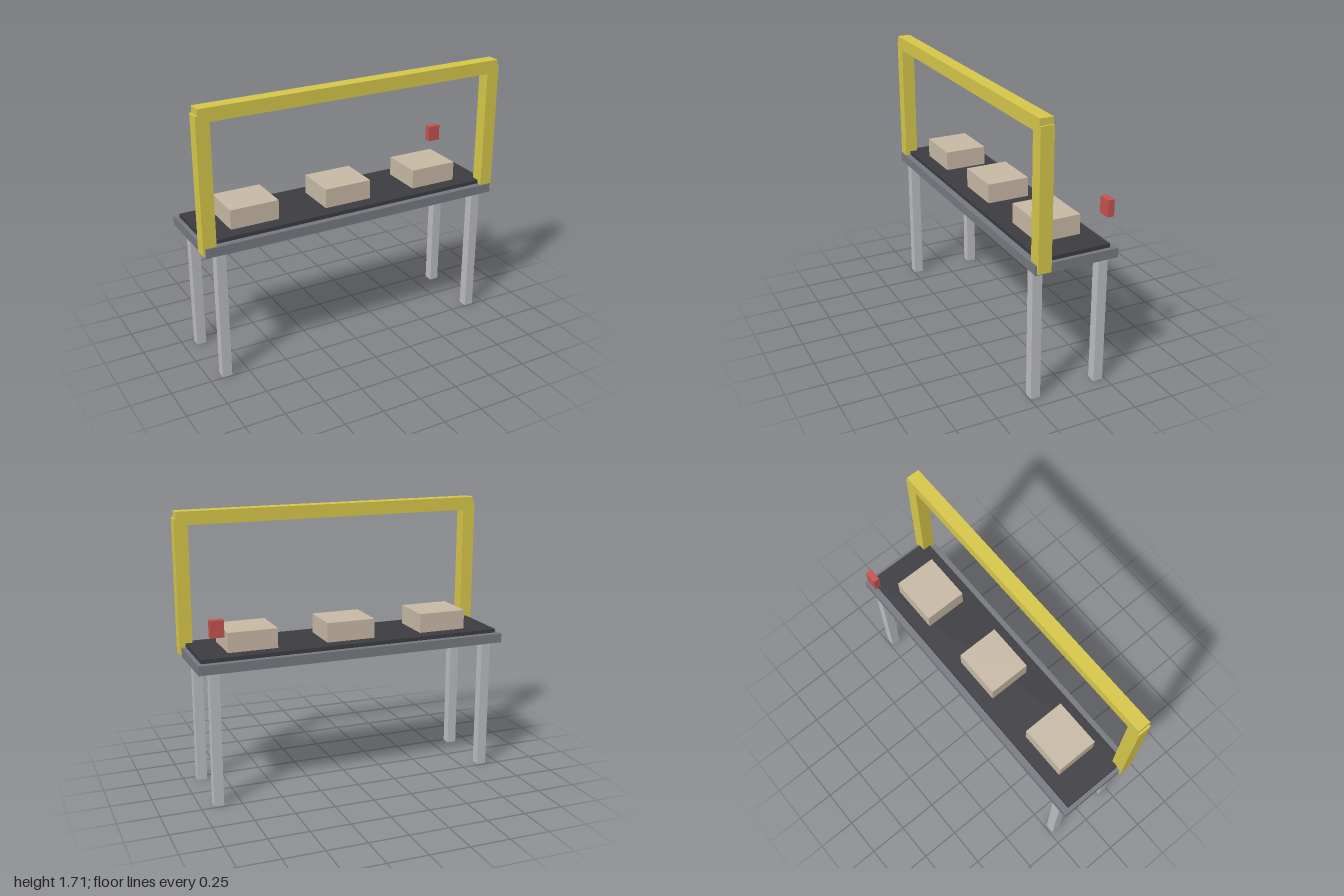
import * as THREE from 'three';

export function createModel() {
  const model = new THREE.Group();
  const paint = (color) => new THREE.MeshStandardMaterial({ color });
  const steel = paint(0x75797f), legGrey = paint(0xbbbcc0), rubber = paint(0x3c3b40);
  const yellow = paint(0xd6c64a), card = paint(0xc6b8a4), red = paint(0xc4534e);

  // Box given by its x, y and z ranges
  const block = (name, material, [x0, x1], [y0, y1], [z0, z1]) => {
    const mesh = new THREE.Mesh(new THREE.BoxGeometry(x1 - x0, y1 - y0, z1 - z0), material);
    mesh.position.set((x0 + x1) / 2, (y0 + y1) / 2, (z0 + z1) / 2);
    mesh.name = name;
    model.add(mesh);
  };

  // Conveyor bed and belt
  block('bedFrame', steel, [-0.988, 0.988], [0.828, 0.886], [-0.255, 0.265]);
  block('belt', rubber, [-0.962, 0.962], [0.886, 0.91], [-0.215, 0.225]);

  // Legs and gantry posts, mirrored left and right
  for (const [side, s] of [['left', 1], ['right', -1]]) {
    const x = s * 0.89;
    block(side + 'FrontLeg', legGrey, [x - 0.03, x + 0.03], [0, 0.828], [0.185, 0.245]);
    block(side + 'BackLeg', legGrey, [x - 0.03, x + 0.03], [0, 0.828], [-0.234, -0.174]);
    const p = s * 0.959;
    block(side + 'GantryPost', yellow, [p - 0.041, p + 0.041], [0.838, 1.67], [0.174, 0.256]);
  }

  // Gantry beam
  block('gantryBeam', yellow, [-0.988, 0.988], [1.628, 1.71], [0.174, 0.256]);

  // Parcels on the belt
  for (const x of [-0.625, 0, 0.625]) {
    block('parcel', card, [x - 0.155, x + 0.155], [0.908, 1.032], [-0.13, 0.14]);
  }

  // Floating stop switch at the back
  block('stopSwitch', red, [0.832, 0.914], [1.045, 1.147], [-0.265, -0.224]);

  return model;
}
